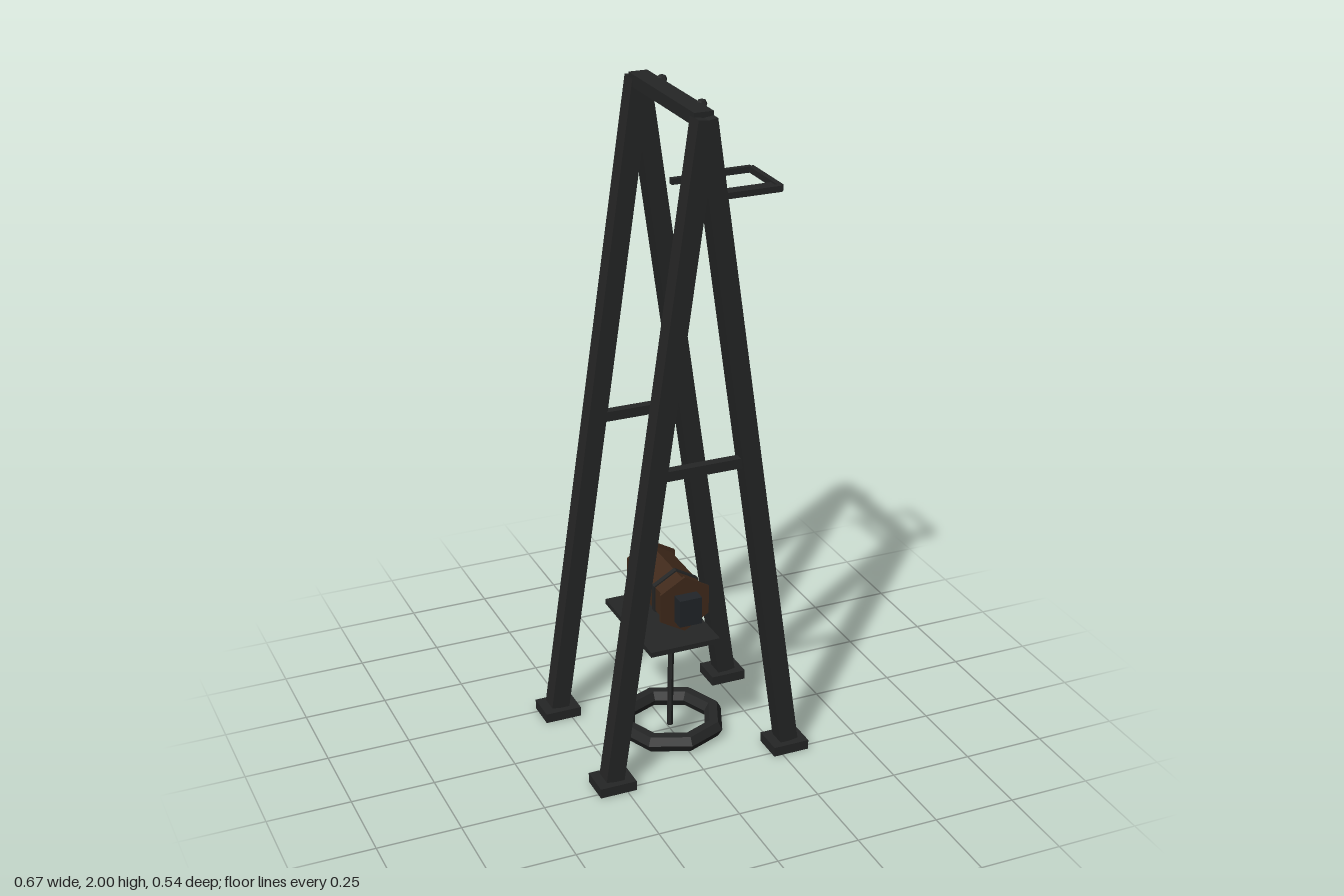
import * as THREE from 'three';

export function createModel() {
  const root = new THREE.Group();
  const mat = (name, color) => {
    const m = new THREE.MeshStandardMaterial({ color, flatShading: true });
    m.name = name;
    return m;
  };
  const steel = mat('darkSteel', 0x252626);
  const wood = mat('darkWood', 0x402a1b);
  const housing = mat('blueGreyMetal', 0x212529);

  const add = (name, geo, material, x, y, z) => {
    const mesh = new THREE.Mesh(geo, material);
    mesh.name = name;
    mesh.position.set(x, y, z);
    root.add(mesh);
    return mesh;
  };
  const box = (name, w, h, d, x, y, z, material = steel) =>
    add(name, new THREE.BoxGeometry(w, h, d), material, x, y, z);

  // A square or round bar running between two points in the front plane
  const span = (name, makeGeo, a, b, z) => {
    const dx = b[0] - a[0], dy = b[1] - a[1];
    const bar = add(name, makeGeo(Math.hypot(dx, dy)), steel, (a[0] + b[0]) / 2, (a[1] + b[1]) / 2, z);
    bar.rotation.z = -Math.atan2(dx, dy);
  };

  // Two A-frames with feet and cross braces
  for (const z of [-0.223, 0.223]) {
    for (const s of [-1, 1]) {
      span('leg', l => new THREE.BoxGeometry(0.056, l, 0.056), [s * 0.28, 0.03], [0, 1.975], z);
      box('foot', 0.112, 0.03, 0.096, s * 0.278, 0.015, z);
    }
    box('crossBrace', 0.27, 0.03, 0.028, 0, 0.97, z);
  }

  // Top beam and its bolts
  box('topBeam', 0.056, 0.036, 0.446, 0, 1.973, 0);
  for (const z of [-0.133, 0.133])
    add('bolt', new THREE.SphereGeometry(0.016, 6, 4), steel, 0.034, 1.984, z);

  // Rectangular bracket near the top
  for (const s of [-1, 1]) {
    box('bracketRail', 0.205, 0.018, 0.016, 0.188, 1.71, s * 0.096);
    box('bracketArm', 0.06, 0.018, 0.016, 0.086, 1.695, s * 0.122);
  }
  box('bracketInnerBar', 0.016, 0.018, 0.2, 0.095, 1.71, 0);
  box('bracketOuterBar', 0.016, 0.018, 0.192, 0.29, 1.71, 0);
  box('bracketPlate', 0.171, 0.014, 0.03, 0.192, 1.71, 0.073);

  // Shelf below the drum
  box('shelf', 0.218, 0.016, 0.354, -0.026, 0.379, 0);

  // Hexagonal drum lying along z, with end flanges and a band
  const hexDrum = (name, r, depth, z, material) => {
    const geo = new THREE.CylinderGeometry(r, r, depth, 6).rotateX(Math.PI / 2);
    add(name, geo, material, -0.008, 0.495, z);
  };
  hexDrum('drum', 0.076, 0.248, 0, wood);
  for (const z of [-0.124, 0.124]) {
    hexDrum('drumFlange', 0.088, 0.008, z, wood);
    box('endHousing', 0.07, 0.085, 0.042, -0.006, 0.487, Math.sign(z) * 0.147, housing);
  }
  hexDrum('drumBand', 0.081, 0.016, 0.057, steel);

  // Hanging rod and the ring at its foot
  span('rod', l => new THREE.CylinderGeometry(0.009, 0.009, l, 6), [0, 0.015], [0.006, 0.43], 0);
  add('ring', new THREE.TorusGeometry(0.142, 0.028, 6, 8).rotateX(Math.PI / 2), steel, 0, 0.033, 0);

  return root;
}
